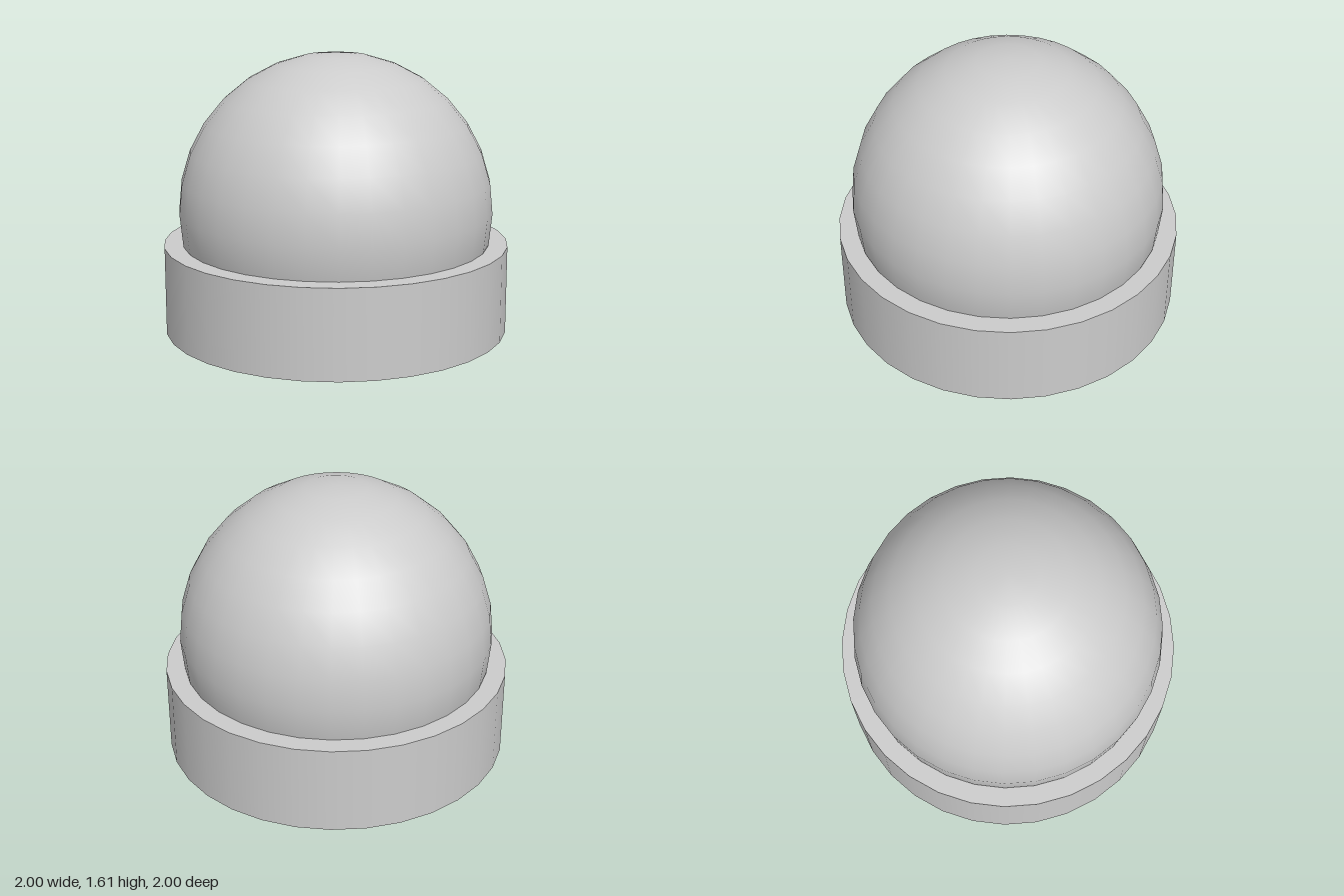
import * as THREE from 'three';

const SIDES = 32;

export function createModel() {
  const group = new THREE.Group();
  const material = new THREE.MeshStandardMaterial({ color: 0xcccccc });

  // Short round base standing on the ground
  const baseHeight = 0.51;
  const base = new THREE.Mesh(new THREE.CylinderGeometry(1, 1, baseHeight, SIDES), material);
  base.name = 'base';
  base.position.y = baseHeight / 2;
  group.add(base);

  // Dome: a sphere cut off inside the base, ten of its sixteen rings
  const rings = 10;
  const dome = new THREE.Mesh(
    new THREE.SphereGeometry(0.91, SIDES, rings, 0, Math.PI * 2, 0, (Math.PI * rings) / 16),
    material
  );
  dome.name = 'dome';
  dome.position.y = 0.7;
  group.add(dome);

  return group;
}
